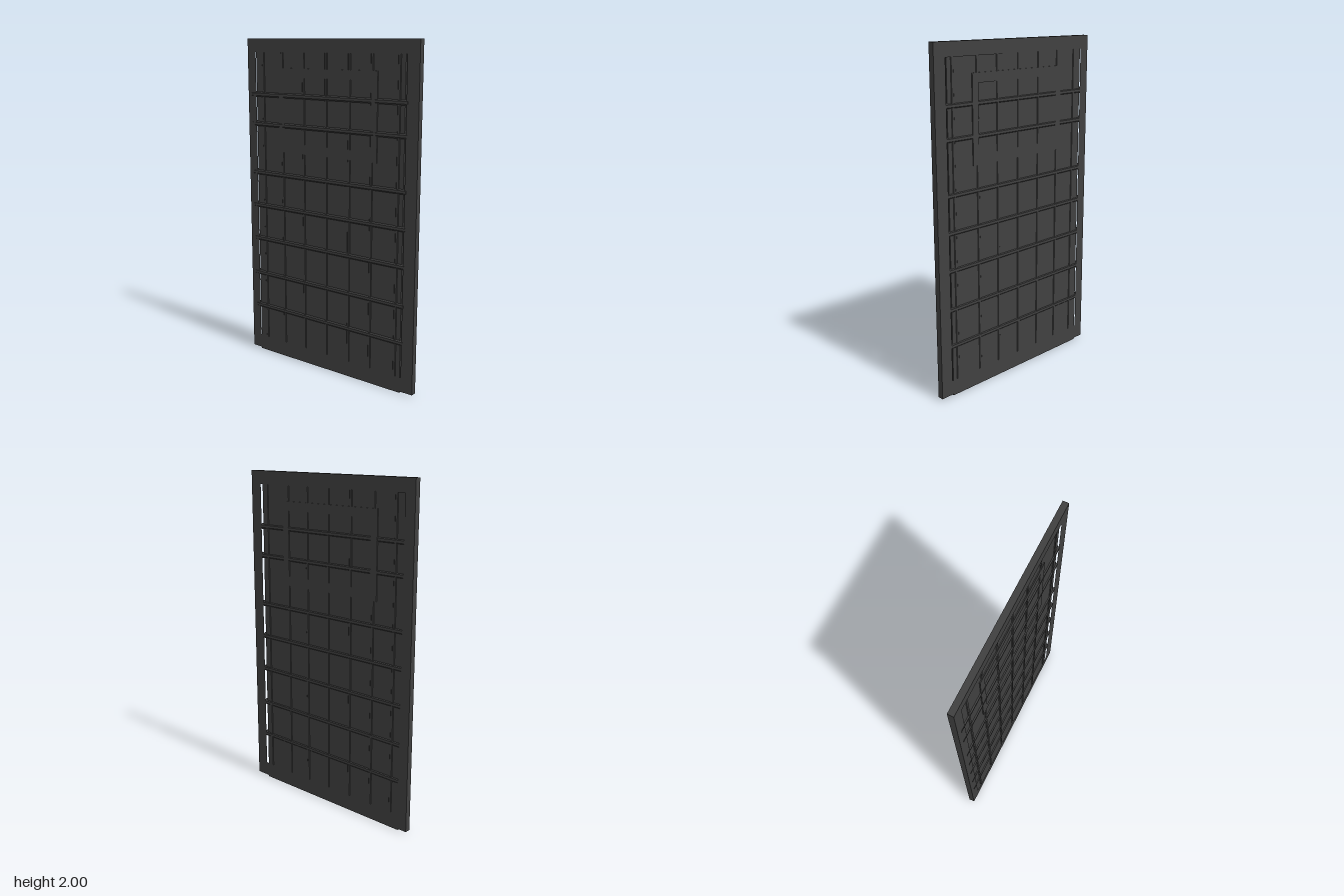
import * as THREE from 'three';

export function createModel() {
  const model = new THREE.Group();
  const mat = new THREE.MeshStandardMaterial({ color: 0x404040, flatShading: true });

  const add = (geo, name) => {
    const mesh = new THREE.Mesh(geo, mat);
    mesh.name = name;
    model.add(mesh);
    return mesh;
  };

  // Rectangle [z0, z1, y0, y1] with a rectangular opening, extruded along x
  const trace = (path, [z0, z1, y0, y1]) =>
    path.moveTo(-z0, y0).lineTo(-z1, y0).lineTo(-z1, y1).lineTo(-z0, y1).closePath();
  const border = (outer, inner, halfDepth, name) => {
    const shape = new THREE.Shape();
    trace(shape, outer);
    const hole = new THREE.Path();
    trace(hole, inner);
    shape.holes.push(hole);
    const geo = new THREE.ExtrudeGeometry(shape, { depth: halfDepth * 2, bevelEnabled: false });
    geo.translate(0, 0, -halfDepth).rotateY(Math.PI / 2);
    return add(geo, name);
  };

  // Outer door frame and the raised window surround
  border([-0.615, 0.615, 0.012, 2], [-0.55, 0.537, 0.1, 1.92], 0.0175, 'doorFrame');
  border([-0.37, 0.35, 1.325, 1.83], [-0.325, 0.307, 1.385, 1.775], 0.0175, 'windowSurround');

  // Thin infill panel, leaving a slit at one side and a lip at the bottom
  add(new THREE.BoxGeometry(0.024, 1.96, 1.077), 'infillPanel').position.set(0, 0.98, -0.0125);

  // Eight-sided bars with a flat facing outwards
  const bar = (radius, length, name) => {
    const geo = new THREE.CylinderGeometry(radius, radius, length, 8);
    geo.rotateY(Math.PI / 8);
    return add(geo, name);
  };

  for (const z of [0.488, 0.311, 0.156, -0.01, -0.178, -0.342, -0.493]) {
    bar(0.0165, 1.84, 'verticalBar').position.set(0, 1.01, z);
  }
  for (const y of [0.307, 0.527, 0.757, 0.973, 1.183, 1.487, 1.667]) {
    const b = bar(0.0195, 1.13, 'horizontalBar');
    b.rotation.x = Math.PI / 2;
    b.position.set(-0.001, y, -0.02);
  }

  return model;
}
